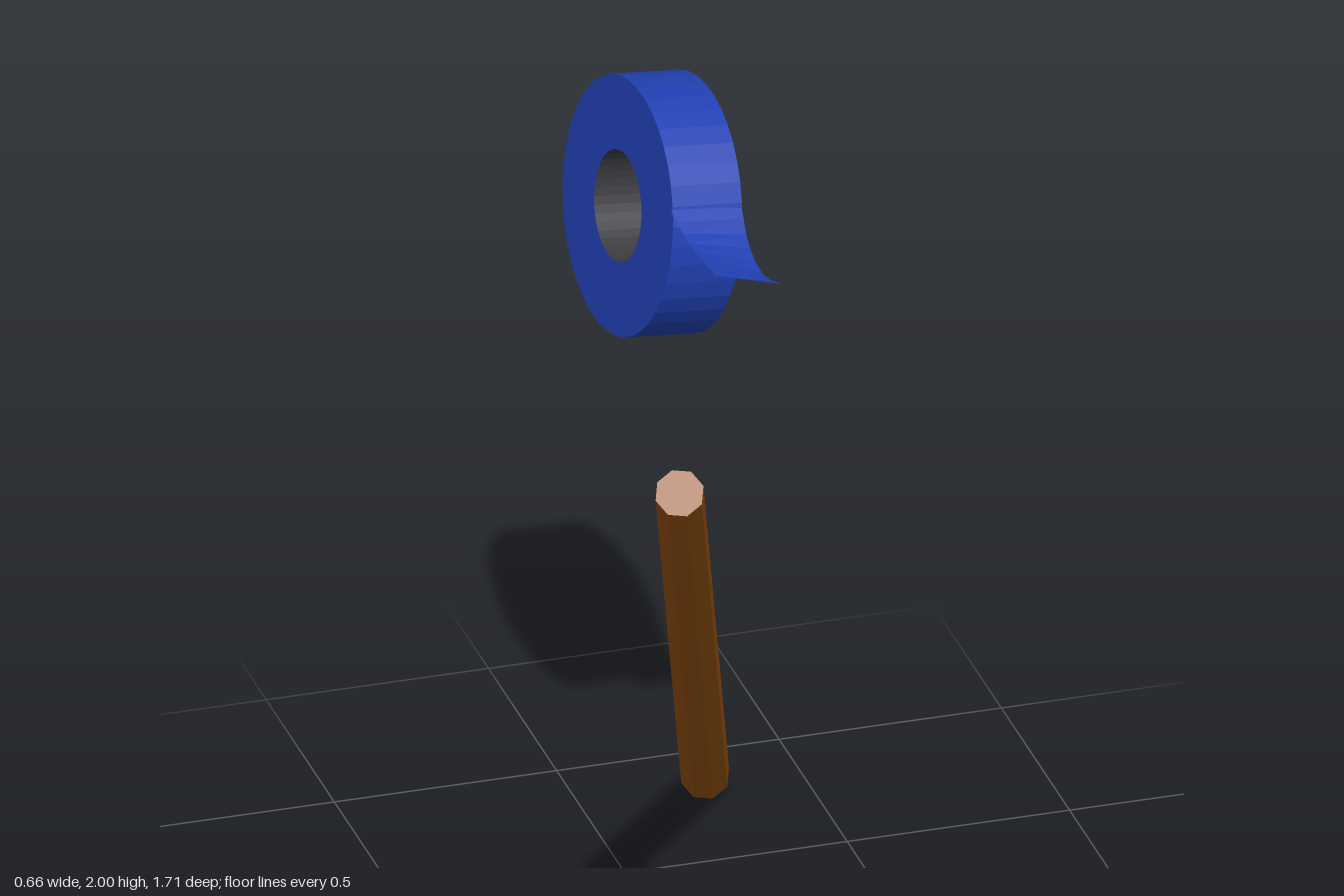
import * as THREE from 'three';

const UP = new THREE.Vector3(0, 1, 0);
const v = (x, y, z) => new THREE.Vector3(x, y, z);
const flat = (color, side = THREE.FrontSide) =>
  new THREE.MeshStandardMaterial({ color, flatShading: true, side });

function add(parent, name, geometry, material) {
  const mesh = new THREE.Mesh(geometry, material);
  mesh.name = name;
  parent.add(mesh);
  return mesh;
}

// Ribbon of quads between two edge curves
function ribbon(edgeA, edgeB, steps) {
  const a = new THREE.CatmullRomCurve3(edgeA);
  const b = new THREE.CatmullRomCurve3(edgeB);
  const pos = [], index = [];
  for (let i = 0; i <= steps; i++) {
    pos.push(...a.getPoint(i / steps).toArray(), ...b.getPoint(i / steps).toArray());
    if (i < steps) {
      const k = i * 2;
      index.push(k, k + 2, k + 1, k + 1, k + 2, k + 3);
    }
  }
  const geo = new THREE.BufferGeometry();
  geo.setAttribute('position', new THREE.Float32BufferAttribute(pos, 3));
  geo.setIndex(index);
  geo.computeVertexNormals();
  return geo;
}

export function createModel() {
  const model = new THREE.Group();
  const blue = 0x2141b4;

  // Octagonal wooden stick leaning through the scene
  const top = v(-0.28, 1.617, 0.815), bottom = v(0.277, 0.043, -0.815);
  const axis = top.clone().sub(bottom);
  const stick = add(model, 'stick',
    new THREE.CylinderGeometry(0.054, 0.054, axis.length(), 8), flat(0x96520f));
  stick.position.copy(top).add(bottom).multiplyScalar(0.5);
  stick.quaternion.setFromUnitVectors(UP, axis.normalize());

  // Tilted tape roll: blue ring with a dark core lining the hole
  const R = 0.284, r = 0.122, h = 0.082, sides = 40;
  const roll = new THREE.Group();
  roll.name = 'tapeRoll';
  const p = (x, y) => new THREE.Vector2(x, y);
  add(roll, 'tape',
    new THREE.LatheGeometry([p(r, -h), p(R, -h), p(R, h), p(r, h)], sides), flat(blue));
  add(roll, 'core', new THREE.LatheGeometry([p(r, h), p(r, -h)], sides), flat(0x3c3c42));
  roll.position.set(0.01, 1.708, -0.33);
  roll.quaternion.setFromUnitVectors(UP, v(0.984, -0.14, -0.11).normalize());
  model.add(roll);

  // Loose, slightly twisted end of the tape
  add(model, 'tapeEnd', ribbon(
    [v(-0.03, 1.83, -0.063), v(-0.012, 1.782, -0.005), v(0.004, 1.762, 0.05), v(0.02, 1.743, 0.097)],
    [v(0.135, 1.81, -0.087), v(0.133, 1.742, -0.025), v(0.147, 1.697, 0.04), v(0.172, 1.695, 0.087)],
    8), flat(blue, THREE.DoubleSide));

  return model;
}
